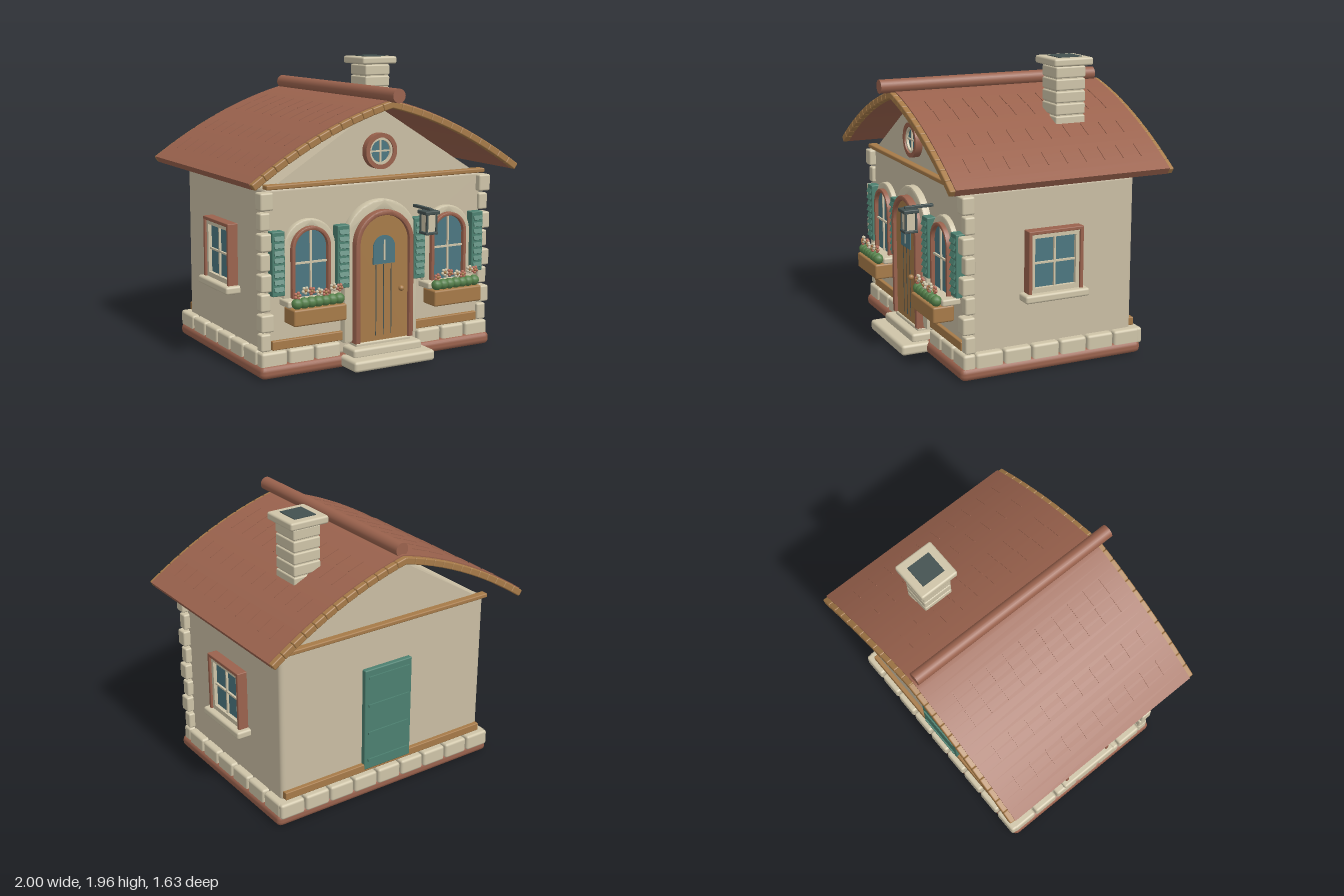
import * as THREE from 'three';
import { toCreasedNormals } from 'three/addons/utils/BufferGeometryUtils.js';
import { RoundedBoxGeometry } from 'three/addons/geometries/RoundedBoxGeometry.js';

const mat = (name, color) => {
  const m = new THREE.MeshStandardMaterial({ color });
  m.name = name;
  return m;
};

export function createModel() {
  const model = new THREE.Group();
  model.name = 'cottage';
  const plaster = mat('plaster', 0xc9bda3), stone = mat('stone', 0xcec4a8);
  const clay = mat('clay', 0x9a624d), wood = mat('wood', 0xa67a48);
  const teal = mat('tealPaint', 0x4c8070), glass = mat('glass', 0x4b7680);
  const leaf = mat('leaf', 0x55804a), pink = mat('pinkPetal', 0xb9705c);
  const dark = mat('darkMetal', 0x435150);

  const add = (name, geo, m, x = 0, y = 0, z = 0, parent = model) => {
    const mesh = new THREE.Mesh(geo, m);
    mesh.name = name;
    mesh.position.set(x, y, z);
    parent.add(mesh);
    return mesh;
  };
  // Box given by its limits, with softened edges when r > 0
  const box = (name, m, x0, x1, y0, y1, z0, z1, r = 0, parent = model) => {
    const w = x1 - x0, h = y1 - y0, d = z1 - z0;
    const geo = r ? new RoundedBoxGeometry(w, h, d, 2, r) : new THREE.BoxGeometry(w, h, d);
    return add(name, geo, m, (x0 + x1) / 2, (y0 + y1) / 2, (z0 + z1) / 2, parent);
  };
  const extrude = (shape, z0, z1, bevel = 0) => {
    const g = new THREE.ExtrudeGeometry(shape, {
      depth: z1 - z0 - bevel, curveSegments: 20, bevelEnabled: bevel > 0,
      bevelSize: bevel, bevelThickness: bevel, bevelOffset: -bevel, bevelSegments: 2 });
    return toCreasedNormals(g.translate(0, 0, z0), 0.6);
  };
  // Round-topped panel, or a round-topped surround when an inner half width is given
  const arch = (w, y0, spring, inner = 0) => {
    const s = new THREE.Shape();
    s.moveTo(w, y0);
    s.lineTo(w, spring);
    s.absarc(0, spring, w, 0, Math.PI, false);
    s.lineTo(-w, y0);
    if (inner) {
      s.lineTo(-inner, y0);
      s.lineTo(-inner, spring);
      s.absarc(0, spring, inner, Math.PI, 0, true);
      s.lineTo(inner, y0);
    }
    s.closePath();
    return s;
  };

  // Plinth, walls and solid gable
  box('plinth', clay, -0.88, 0.88, 0.01, 0.095, -0.68, 0.625, 0.035);
  box('walls', plaster, -0.82, 0.82, 0.08, 1.22, -0.63, 0.565, 0.03);
  const gable = new THREE.Shape();
  gable.moveTo(-0.78, 1.21);
  gable.lineTo(0.78, 1.21);
  gable.lineTo(0, 1.69);
  gable.closePath();
  add('gable', extrude(gable, -0.62, 0.56), plaster);
  box('frontGableBeam', wood, -0.825, 0.825, 1.21, 1.24, 0.54, 0.605, 0.008);
  box('backGableBeam', wood, -0.825, 0.825, 1.21, 1.24, -0.665, -0.61, 0.008);
  box('backSkirtBoard', wood, -0.81, 0.81, 0.185, 0.24, -0.66, -0.61, 0.006);

  // Stone course around the foot
  for (let i = 0; i < 9; i++) {
    const x = -0.776 + i * 0.194;
    if (Math.abs(x) > 0.25) box('frontFootStone', stone, x - 0.09, x + 0.09, 0.07, 0.18, 0.52, 0.605, 0.018);
    box('backFootStone', stone, x - 0.09, x + 0.09, 0.07, 0.18, -0.695, -0.59, 0.018);
  }
  for (const s of [-1, 1]) {
    for (let i = 0; i < 6; i++) {
      const z = 0.425 - i * 0.2;
      const b = box('sideFootStone', stone, -0.05, 0.05, 0.07, 0.18, z - 0.095, z + 0.095, 0.018);
      b.position.x = s * 0.82;
    }
    // Front corner stones, alternately large and small
    for (let i = 0; i < 8; i++) {
      const y = 0.18 + i * 0.1285, big = i % 2;
      const w = big ? 0.09 : 0.07, d = big ? 0.085 : 0.07;
      add('cornerStone', new RoundedBoxGeometry(w, 0.112, d, 2, 0.012), stone,
        s * (big ? 0.825 : 0.828), y + 0.06, big ? 0.568 : 0.555);
    }
    const skirt = box('frontSkirtBoard', wood, -0.26, 0.26, 0.185, 0.245, 0.54, 0.59, 0.006);
    skirt.position.x = s * 0.525;
  }

  // Bowed roof slab
  const a = 0.24, b = 0.225, T = 0.05;
  const roofY = x => 1.745 - a * Math.abs(x) - b * x * x;
  const slope = x => Math.atan(a + 2 * b * x);
  const roof = new THREE.Shape(), N = 16;
  for (let i = -N; i <= N; i++) {
    if (i === -N) roof.moveTo(-1, roofY(1)); else roof.lineTo(i / N, roofY(i / N));
  }
  for (let i = N; i >= -N; i--) {
    const x = Math.abs(i / N), t = slope(x);
    if (i === 0) roof.lineTo(0, 1.745 - T * 1.03);
    else roof.lineTo(Math.sign(i) * (x - T * Math.sin(t) * Math.min(1, x * 4)), roofY(x) - T * Math.cos(t));
  }
  roof.closePath();
  add('roof', extrude(roof, -0.785, 0.71), clay);
  const ridge = add('ridgePole', new THREE.CylinderGeometry(0.046, 0.046, 1.585, 24), clay, 0, 1.773, 0.022);
  ridge.rotation.x = Math.PI / 2;

  // Verge blocks and shallow shingle seams follow the roof curve
  for (const s of [-1, 1]) {
    for (let i = 0; i < 13; i++) {
      const x = (i + 0.5) / 13, t = slope(x);
      for (const z of [0.722, -0.797]) {
        const v = add('vergeBlock', new RoundedBoxGeometry(0.076 / Math.cos(t), 0.046, 0.046, 2, 0.008), wood,
          s * (x - 0.03 * Math.sin(t)), roofY(x) - 0.03 * Math.cos(t), z);
        v.rotation.z = -s * t;
      }
    }
    for (const [row, x] of [0.25, 0.38, 0.63, 0.84].entries()) {
      for (let i = 0; i < 10; i++) {
        const seam = add('shingleSeam', new THREE.BoxGeometry(0.12, 0.008, 0.006), clay,
          s * x, roofY(x), 0.57 - i * 0.134 + (row % 2 ? 0 : 0.006));
        seam.rotation.z = -s * slope(x);
      }
    }
  }

  // Chimney
  for (let i = 0; i < 5; i++) {
    const y = 1.515 + i * 0.08;
    box('chimneyBlock', stone, 0.36, 0.56, y, y + 0.073, -0.405, -0.19, 0.01);
  }
  box('chimneyCore', stone, 0.37, 0.55, 1.45, 1.92, -0.395, -0.2);
  box('chimneyCap', stone, 0.32, 0.6, 1.914, 1.966, -0.44, -0.157, 0.014);
  box('chimneyOpening', dark, 0.38, 0.54, 1.962, 1.971, -0.385, -0.215);

  // Front door
  add('doorSurround', extrude(arch(0.278, 0.17, 0.815, 0.2), 0.55, 0.615, 0.012), stone);
  add('doorFrame', extrude(arch(0.22, 0.165, 0.81, 0.185), 0.55, 0.665, 0.01), clay);
  add('door', extrude(arch(0.19, 0.165, 0.81), 0.55, 0.64), wood);
  add('doorPane', extrude(arch(0.083, 0.675, 0.78), 0.64, 0.648), glass);
  box('doorPaneBar', stone, -0.005, 0.005, 0.7, 0.835, 0.646, 0.653);
  for (const x of [-0.058, 0.0, 0.058]) box('plankGroove', dark, x - 0.003, x + 0.003, 0.2, 0.67, 0.638, 0.642);
  add('doorKnob', new THREE.SphereGeometry(0.019, 16, 12), wood, 0.125, 0.5, 0.66);
  box('doorSill', stone, -0.21, 0.21, 0.13, 0.166, 0.5, 0.65, 0.01);
  box('upperStep', stone, -0.26, 0.26, 0.08, 0.145, 0.5, 0.71, 0.018);
  box('lowerStep', stone, -0.305, 0.305, 0.02, 0.092, 0.5, 0.8, 0.02);

  // Front window with shutters and flower box
  const petal = new THREE.SphereGeometry(0.011, 8, 6), bush = new THREE.SphereGeometry(0.036, 12, 9);
  for (const s of [-1, 1]) {
    const g = new THREE.Group();
    g.name = 'frontWindow';
    g.position.x = s * 0.523;
    model.add(g);
    add('windowSurround', extrude(arch(0.187, 0.5, 0.822, 0.13), 0.55, 0.6, 0.01), stone, 0, 0, 0, g);
    add('windowFrame', extrude(arch(0.14, 0.48, 0.825, 0.116), 0.55, 0.63, 0.006), clay, 0, 0, 0, g);
    add('windowPane', extrude(arch(0.12, 0.48, 0.825), 0.55, 0.603), glass, 0, 0, 0, g);
    box('uprightBar', stone, -0.006, 0.006, 0.49, 0.942, 0.6, 0.615, 0, g);
    box('crossBar', stone, -0.117, 0.117, 0.728, 0.741, 0.6, 0.615, 0, g);
    box('windowSill', stone, -0.2, 0.2, 0.47, 0.515, 0.55, 0.685, 0.012, g);
    box('flowerBox', wood, -0.188, 0.188, 0.363, 0.47, 0.6, 0.745, 0.012, g);
    for (const e of [-1, 1]) {
      const c = e * 0.233;
      box('shutter', teal, c - 0.044, c + 0.044, 0.54, 0.95, 0.56, 0.625, 0.006, g);
      for (let i = 0; i < 8; i++) {
        const slat = add('shutterSlat', new THREE.BoxGeometry(0.066, 0.03, 0.01), teal, c, 0.585 + i * 0.046, 0.63, g);
        slat.rotation.x = -0.4;
      }
    }
    for (let i = 0; i < 7; i++) {
      const x = -0.15 + i * 0.05;
      add('bush', bush, leaf, x, 0.502, 0.708, g);
      const fy = 0.555 + (i * 3 % 4) * 0.01, fz = 0.715 + (i % 2) * 0.01;
      for (let k = 0; k < 5; k++) {
        const t = k * Math.PI * 0.4 + i;
        add('petal', petal, i % 2 ? stone : pink, x + 0.017 * Math.cos(t), fy + 0.017 * Math.sin(t), fz, g);
      }
      add('flowerCentre', petal, wood, x, fy, fz + 0.005, g);
    }
  }

  // Round gable window
  const disc = (r0, r1, z) => {
    const s = new THREE.Shape().absarc(0, 0, r1, 0, Math.PI * 2, false);
    if (r0) s.holes.push(new THREE.Path().absarc(0, 0, r0, 0, Math.PI * 2, true));
    return extrude(s, 0.54, z);
  };
  add('roundWindowFrame', disc(0.088, 0.117, 0.61), clay, 0, 1.405);
  add('roundWindowLining', disc(0.072, 0.09, 0.6), stone, 0, 1.405);
  add('roundWindowPane', disc(0, 0.075, 0.585), glass, 0, 1.405);
  box('roundWindowBar', stone, -0.005, 0.005, 1.332, 1.478, 0.583, 0.595);
  box('roundWindowBar', stone, -0.073, 0.073, 1.4, 1.41, 0.583, 0.595);

  // Side windows, facing outward on each side
  for (const s of [-1, 1]) {
    const g = new THREE.Group();
    g.name = 'sideWindow';
    g.position.set(s * 0.82, 0, -0.03);
    g.rotation.y = s * Math.PI / 2;
    model.add(g);
    for (const e of [-1, 1]) {
      box('sideWindowJamb', clay, -0.012, 0.012, 0.52, 0.935, -0.02, 0.07, 0.005, g).position.x = e * 0.183;
      box('sideWindowLining', stone, -0.014, 0.014, 0.53, 0.92, -0.02, 0.055, 0, g).position.x = e * 0.16;
    }
    box('sideWindowHead', clay, -0.195, 0.195, 0.913, 0.937, -0.02, 0.07, 0.005, g);
    box('sideWindowLiningTop', stone, -0.17, 0.17, 0.885, 0.915, -0.02, 0.055, 0, g);
    box('sideWindowLiningFoot', stone, -0.17, 0.17, 0.52, 0.56, -0.02, 0.055, 0, g);
    box('sideWindowPane', glass, -0.15, 0.15, 0.55, 0.89, -0.02, 0.03, 0, g);
    box('sideUprightBar', stone, -0.006, 0.006, 0.555, 0.89, 0.02, 0.045, 0, g);
    box('sideCrossBar', stone, -0.148, 0.148, 0.715, 0.727, 0.02, 0.045, 0, g);
    box('sideWindowSill', stone, -0.228, 0.228, 0.475, 0.528, -0.02, 0.1, 0.015, g);
  }

  // Back door with cross battens
  box('backDoor', teal, -0.19, 0.19, 0.2, 0.94, -0.664, -0.6, 0.008);
  for (const y of [0.27, 0.475, 0.68, 0.885]) box('backDoorBatten', teal, -0.165, 0.165, y - 0.009, y + 0.009, -0.674, -0.65);

  // Wall lantern
  const lamp = new THREE.Group();
  lamp.name = 'lantern';
  lamp.position.set(0.285, 0, 0.732);
  model.add(lamp);
  box('lanternBody', stone, -0.034, 0.034, 0.87, 0.995, -0.034, 0.034, 0, lamp);
  for (const x of [-1, 1]) for (const z of [-1, 1]) {
    add('lanternPost', new THREE.BoxGeometry(0.012, 0.13, 0.012), dark, x * 0.036, 0.93, z * 0.036, lamp);
  }
  box('lanternFoot', dark, -0.046, 0.046, 0.858, 0.876, -0.046, 0.046, 0.004, lamp);
  box('lanternCap', dark, -0.055, 0.055, 0.99, 1.015, -0.053, 0.053, 0.006, lamp);
  box('lanternArm', dark, -0.012, 0.012, 1.012, 1.032, -0.18, 0.03, 0.004, lamp);
  return model;
}
